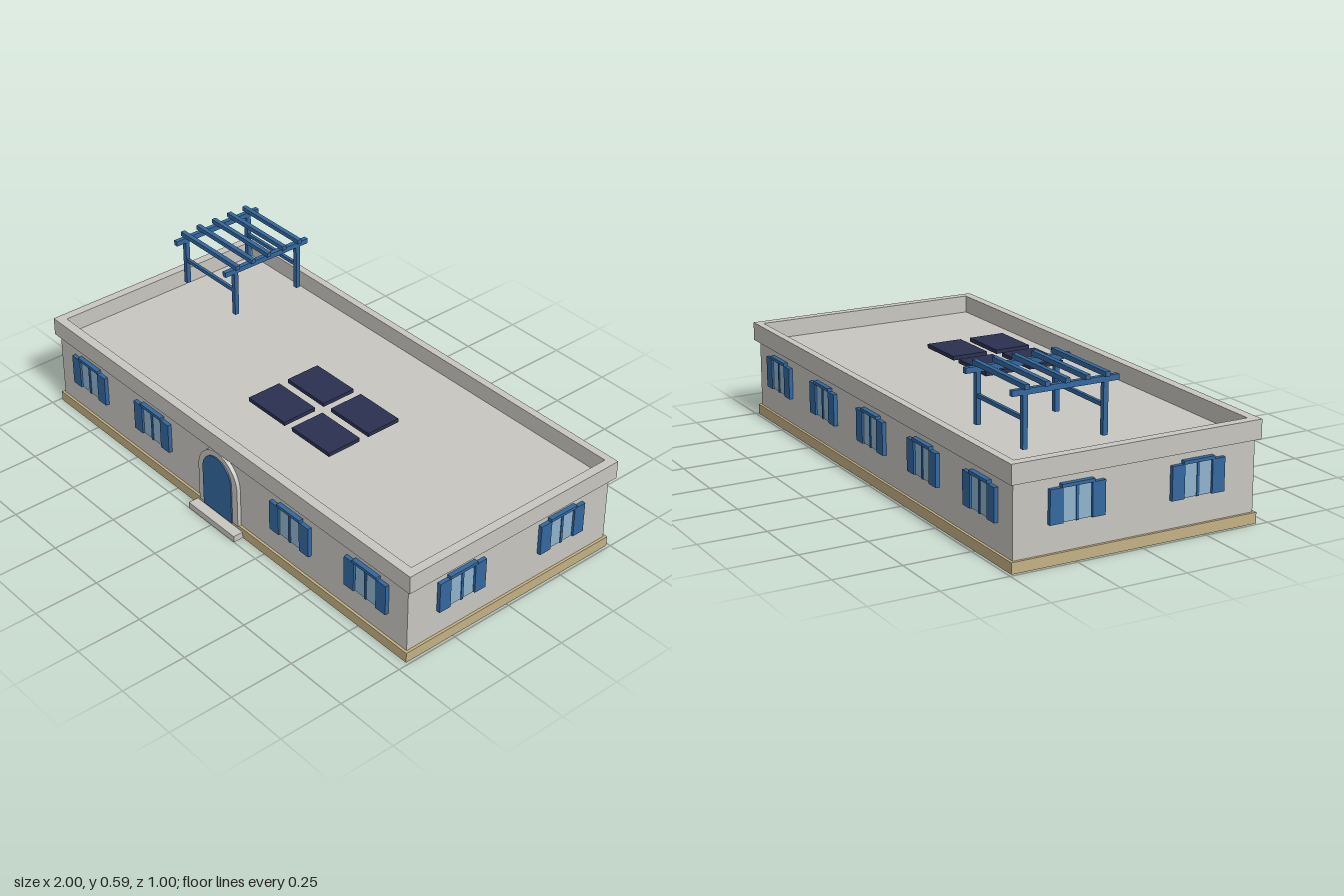
import * as THREE from 'three';

const mat = (name, color) => {
  const m = new THREE.MeshStandardMaterial({ color });
  m.name = name;
  return m;
};

export function createModel() {
  const stone = mat('stone', 0xc8c6c0);
  const sand = mat('sand', 0xc4b184);
  const blue = mat('blue', 0x33689f);
  const glass = mat('glass', 0x8fb3cc);
  const navy = mat('navy', 0x2a3050);

  const house = new THREE.Group();
  house.name = 'house';

  // Box given by its extents along each axis
  const box = (parent, name, material, [x0, x1], [y0, y1], [z0, z1]) => {
    const mesh = new THREE.Mesh(new THREE.BoxGeometry(x1 - x0, y1 - y0, z1 - z0), material);
    mesh.position.set((x0 + x1) / 2, (y0 + y1) / 2, (z0 + z1) / 2);
    mesh.name = name;
    parent.add(mesh);
    return mesh;
  };

  // Plinth, walls and front step
  box(house, 'plinth', sand, [-0.99, 0.99], [0, 0.04], [-0.49, 0.46]);
  box(house, 'walls', stone, [-0.98, 0.98], [0.04, 0.303], [-0.48, 0.45]);
  box(house, 'step', stone, [-0.13, 0.13], [0, 0.025], [0.455, 0.5]);

  // Parapet ring around the sunken roof
  const rect = (path, x, z0, z1) => path.moveTo(-x, z0).lineTo(x, z0).lineTo(x, z1).lineTo(-x, z1).closePath();
  const ring = rect(new THREE.Shape(), 1, -0.463, 0.497);
  ring.holes.push(rect(new THREE.Path(), 0.965, -0.427, 0.468));
  const parapet = new THREE.Mesh(new THREE.ExtrudeGeometry(ring, { depth: 0.07, bevelEnabled: false }), stone);
  parapet.rotation.x = -Math.PI / 2;
  parapet.position.y = 0.3;
  parapet.name = 'parapet';
  house.add(parapet);

  // Arched door and its surround
  const arch = (path, r, spring) => path.moveTo(-r, 0.04).lineTo(r, 0.04).lineTo(r, spring)
    .absarc(0, spring, r, 0, Math.PI, false).lineTo(-r, 0.04);
  const extrudeArch = (name, shape, material, depth) => {
    const mesh = new THREE.Mesh(
      new THREE.ExtrudeGeometry(shape, { depth, bevelEnabled: false, curveSegments: 16 }), material);
    mesh.position.z = 0.449;
    mesh.name = name;
    house.add(mesh);
  };
  const surround = arch(new THREE.Shape(), 0.11, 0.19);
  surround.holes.push(arch(new THREE.Path(), 0.08, 0.2));
  extrudeArch('doorSurround', surround, stone, 0.016);
  extrudeArch('door', arch(new THREE.Shape(), 0.08, 0.2), blue, 0.021);

  // Shuttered window, built facing +z with the wall at z = 0
  const addWindow = (x, z, turn) => {
    const w = new THREE.Group();
    w.name = 'window';
    box(w, 'frame', blue, [-0.055, 0.055], [0.14, 0.262], [-0.002, 0.006]);
    box(w, 'mullion', blue, [-0.005, 0.005], [0.14, 0.262], [0, 0.012]);
    box(w, 'lintel', blue, [-0.061, 0.061], [0.26, 0.272], [-0.002, 0.018]);
    for (const s of [-1, 1]) {
      const span = (a, b) => (s < 0 ? [-b, -a] : [a, b]);
      box(w, 'pane', glass, span(0.005, 0.052), [0.142, 0.26], [0.002, 0.009]);
      box(w, 'shutter', blue, span(0.055, 0.104), [0.14, 0.26], [-0.002, 0.015]);
    }
    w.position.set(x, 0, z);
    w.rotation.y = turn;
    house.add(w);
  };
  for (const i of [-2, -1, 0, 1, 2]) {
    if (i) addWindow(i * 0.392, 0.45, 0);
    addWindow(i * 0.392, -0.48, Math.PI);
  }
  for (const z of [0.217, -0.248]) {
    addWindow(0.98, z, Math.PI / 2);
    addWindow(-0.98, z, -Math.PI / 2);
  }

  // Solar panels
  for (const x of [-0.1, 0.14])
    for (const z of [-0.08, 0.1])
      box(house, 'solarPanel', navy, [x, x + 0.2], [0.368, 0.383], [z, z + 0.14]);

  // Roof pergola
  const pergola = new THREE.Group();
  pergola.name = 'pergola';
  house.add(pergola);
  const around = (c, r) => [c - r, c + r];
  for (const x of [-0.885, -0.585]) {
    box(pergola, 'beam', blue, around(x, 0.009), [0.55, 0.57], [-0.433, -0.035]);
    for (const z of [-0.085, -0.385])
      box(pergola, 'post', blue, around(x, 0.009), [0.37, 0.55], around(z, 0.009));
  }
  for (const z of [-0.085, -0.385])
    box(pergola, 'rail', blue, [-0.885, -0.585], around(0.47, 0.007), around(z, 0.006));
  for (let i = 0; i < 5; i++)
    box(pergola, 'slat', blue, [-0.905, -0.565], [0.57, 0.587], around(-0.085 - i * 0.075, 0.009));

  return house;
}
